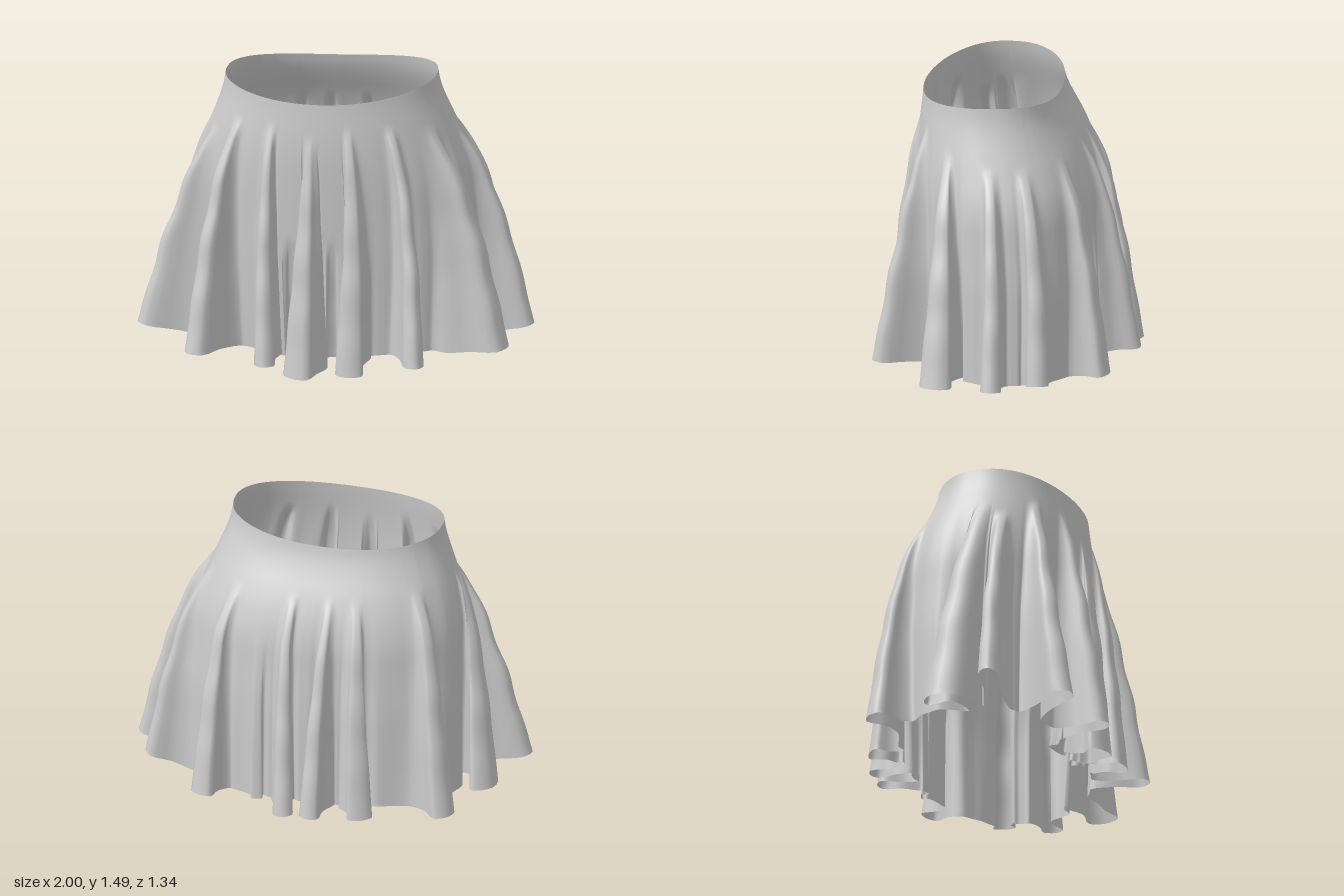
import * as THREE from 'three';

// Body outline by height: y, xMin, xMax, zMin, zMax, z of the widest line
const SECTIONS = [
  [1.47, -0.56, 0.51, -0.262, 0.43, 0.07],
  [1.35, -0.59, 0.55, -0.3, 0.445, 0.06],
  [1.2, -0.65, 0.615, -0.39, 0.46, 0.04],
  [1.0, -0.7, 0.69, -0.455, 0.46, 0.02],
  [0.6, -0.72, 0.725, -0.475, 0.45, 0],
  [0.0, -0.72, 0.73, -0.475, 0.42, 0],
];

// Folds in order round the hem: root x, z; tip x, z; half width; height of the tip; top of fold; sideways bend
const FOLDS = [
  [0.72, 0.0, 1.0, 0.0, 0.05, 0.15, 1.2, 0],
  [0.68, 0.28, 0.9, 0.29, 0.08, 0.12, 1.25, 0.02],
  [0.39, 0.4, 0.47, 0.65, 0.05, 0.11, 1.3, 0],
  [0.13, 0.42, 0.12, 0.63, 0.07, 0.04, 1.3, 0],
  [0.02, 0.42, 0.0, 0.36, 0.035, 0.05, 0.7, 0],
  [-0.08, 0.42, -0.18, 0.59, 0.075, 0.01, 1.25, -0.03],
  [-0.18, 0.41, -0.15, 0.33, 0.07, 0.05, 0.7, 0],
  [-0.31, 0.4, -0.31, 0.66, 0.05, 0.09, 1.3, 0],
  [-0.57, 0.33, -0.7, 0.56, 0.06, 0.11, 1.3, 0],
  [-0.72, 0.18, -1.0, 0.21, 0.05, 0.15, 1.2, 0],
  [-0.72, 0.04, -0.79, -0.18, 0.06, 0.1, 1.25, -0.09],
  [-0.54, -0.33, -0.72, -0.49, 0.065, 0.1, 1.25, 0],
  [-0.22, -0.45, -0.3, -0.61, 0.065, 0.09, 1.2, 0],
  [-0.07, -0.45, -0.03, -0.68, 0.05, 0.1, 1.2, 0],
  [0.13, -0.45, 0.09, -0.68, 0.05, 0.1, 1.2, 0],
  [0.27, -0.45, 0.27, -0.5, 0.03, 0.09, 1.0, 0],
  [0.47, -0.38, 0.56, -0.56, 0.06, 0.11, 1.2, 0],
  [0.7, -0.2, 0.91, -0.24, 0.055, 0.16, 1.2, 0],
];

// Body outline interpolated at a height
function sectionAt(y) {
  let i = 0;
  while (i < SECTIONS.length - 2 && y < SECTIONS[i + 1][0]) i++;
  const a = SECTIONS[i], b = SECTIONS[i + 1];
  const t = THREE.MathUtils.clamp((a[0] - y) / (a[0] - b[0]), 0, 1);
  return a.map((v, k) => v + (b[k] - v) * t);
}

// Point of the plain body at a polar angle and height, blended over nearby heights
function bodyPoint(angle, y) {
  const near = [-0.08, -0.04, 0, 0.04, 0.08].map((d) => sectionAt(y + d));
  const [, x0, x1, z0, z1, zc] = near[0].map((_, k) => near.reduce((sum, n) => sum + n[k], 0) / 5);
  const c = Math.cos(angle), s = Math.sin(angle);
  const n = s > 0 ? 2.05 : 2.45;
  const rz = s > 0 ? z1 - zc : zc - z0;
  const r = (Math.abs(c / ((x1 - x0) / 2)) ** n + Math.abs(s / rz) ** n) ** (-1 / n);
  return new THREE.Vector3((x0 + x1) / 2 + r * c, y, zc + r * s);
}

// Hem height between the folds, lowest just right of the front centre
function panelHem(angle) {
  const x = Math.cos(angle) * 0.5;
  return Math.sin(angle) > 0 ? 0.09 - 0.06 * Math.exp(-(((x + 0.06) / 0.2) ** 2)) : 0.09;
}

// Control columns: the angle on the body, and the offset reached at the hem
function makeColumns() {
  const columns = [];
  const angles = FOLDS.map(([x, z]) => {
    const a = Math.atan2(z, x);
    return a < 0 ? a + Math.PI * 2 : a;
  });
  FOLDS.forEach(([, , tx, tz, w, tipHem, top, bend], i) => {
    const root = bodyPoint(angles[i], 0.1);
    const axis = new THREE.Vector3(tx, 0.1, tz).sub(root);
    // side points onward round the hem, for inward folds too
    const outward = Math.sign(axis.x * root.x + axis.z * root.z);
    const side = new THREE.Vector3(-axis.z, 0, axis.x).normalize().multiplyScalar(outward);
    // along the fold, across it, and angular offset on the body
    const outline = [
      [0, -1.15, -0.075], [0.4, -0.75, -0.05], [0.87, -1, -0.025], [1, 0, 0],
      [0.87, 1, 0.025], [0.4, 0.75, 0.05], [0, 1.15, 0.075],
    ];
    for (const [along, across, da] of outline) {
      const shift = across * w + bend * Math.sin(along * Math.PI);
      const target = root.clone().addScaledVector(axis, along).addScaledVector(side, shift);
      const angle = angles[i] + da;
      const hem = THREE.MathUtils.lerp(panelHem(angle), tipHem, along);
      columns.push({ angle, hem, top, offset: target.sub(bodyPoint(angle, 0.1)), phase: i * 1.7 });
    }
    // smooth panel up to the next fold
    const start = angles[i] + 0.075;
    const last = i === FOLDS.length - 1;
    const end = (last ? angles[0] + Math.PI * 2 : angles[i + 1]) - 0.075;
    const nextTop = FOLDS[(i + 1) % FOLDS.length][6];
    for (const k of [0.3, 0.5, 0.7]) {
      const angle = start + (end - start) * k;
      columns.push({
        angle, hem: panelHem(angle), top: top + (nextTop - top) * k,
        offset: new THREE.Vector3(), phase: 0,
      });
    }
  });
  return columns;
}

function columnPoint(col, s) {
  const rim = bodyPoint(col.angle, 1.47);
  const rimY = 1.447 + 0.15 * rim.x ** 2 + 0.035 * rim.x - 0.025 * rim.z;
  const y = rimY + (col.hem - rimY) * s;
  const t = Math.max(0, (col.top - y) / (col.top - col.hem));
  // the folds deepen towards the hem, with slight wrinkles
  const depth = t ** 0.88 * (1 + 0.07 * Math.sin(y * 19 + col.phase) * (1 - t));
  return bodyPoint(col.angle, y).addScaledVector(col.offset, depth);
}

export function createModel() {
  const group = new THREE.Group();
  group.name = 'skirt';
  const columns = makeColumns();
  const rows = 44, around = columns.length * 3;
  const positions = [], index = [];
  for (let j = 0; j <= rows; j++) {
    const ring = new THREE.CatmullRomCurve3(columns.map((c) => columnPoint(c, j / rows)), true);
    for (let i = 0; i < around; i++) positions.push(...ring.getPoint(i / around).toArray());
  }
  for (let j = 0; j < rows; j++) {
    for (let i = 0; i < around; i++) {
      const a = j * around + i, b = j * around + (i + 1) % around;
      index.push(a, b, a + around, b, b + around, a + around);
    }
  }
  const geometry = new THREE.BufferGeometry();
  geometry.setAttribute('position', new THREE.Float32BufferAttribute(positions, 3));
  geometry.setIndex(index);
  geometry.computeVertexNormals();
  const cloth = new THREE.Mesh(
    geometry,
    new THREE.MeshStandardMaterial({ color: 0xcccccc, side: THREE.DoubleSide }),
  );
  cloth.name = 'pleatedCloth';
  group.add(cloth);
  return group;
}
